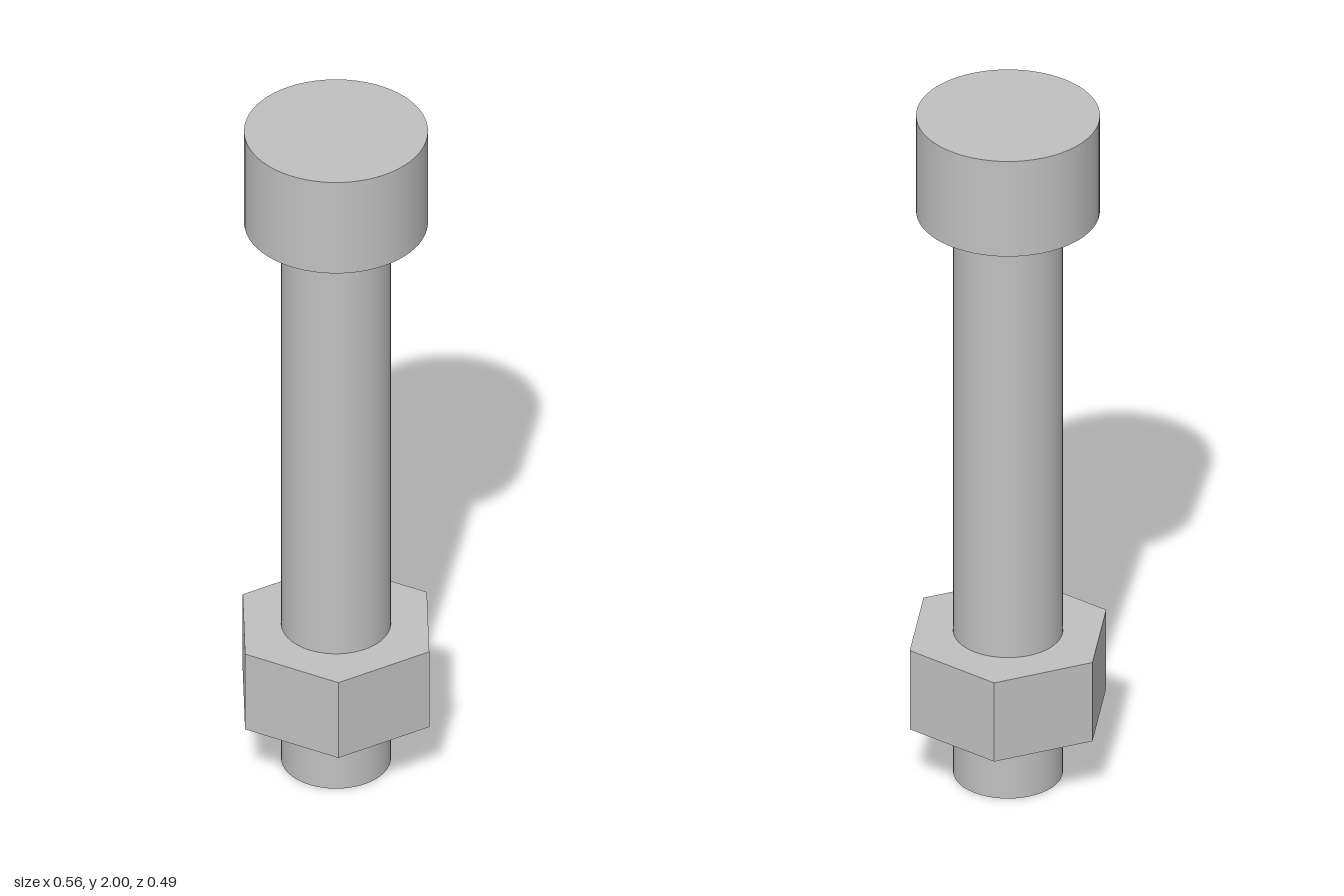
import * as THREE from 'three';

const SEGMENTS = 64;
const SHANK_RADIUS = 0.145;

export function createModel() {
  const model = new THREE.Group();
  model.name = 'boltWithNut';

  const steel = new THREE.MeshStandardMaterial({ color: 0xc0c0c0 });
  steel.name = 'steel grey';

  // Adds a part whose lowest point sits at the given height
  function addPart(name, geometry, bottom) {
    geometry.translate(0, bottom, 0);
    const mesh = new THREE.Mesh(geometry, steel);
    mesh.name = name;
    model.add(mesh);
  }

  // Upright cylinder resting on y = 0
  function rod(radius, height) {
    return new THREE.CylinderGeometry(radius, radius, height, SEGMENTS).translate(0, height / 2, 0);
  }

  // Hexagonal ring with corners on the x axis
  function hexNut(cornerRadius, holeRadius, height) {
    const corners = [];
    for (let i = 0; i < 6; i++) {
      const a = (i * Math.PI) / 3;
      corners.push(new THREE.Vector2(cornerRadius * Math.cos(a), cornerRadius * Math.sin(a)));
    }
    const shape = new THREE.Shape(corners);
    shape.holes.push(new THREE.Path().absarc(0, 0, holeRadius, 0, Math.PI * 2, true));
    const geometry = new THREE.ExtrudeGeometry(shape, {
      depth: height, bevelEnabled: false, curveSegments: SEGMENTS,
    });
    return geometry.rotateX(-Math.PI / 2);
  }

  addPart('shank', rod(SHANK_RADIUS, 1.71), 0);
  addPart('head', rod(0.243, 0.29), 1.71);
  addPart('nut', hexNut(0.281, SHANK_RADIUS, 0.24), 0.19);

  return model;
}
